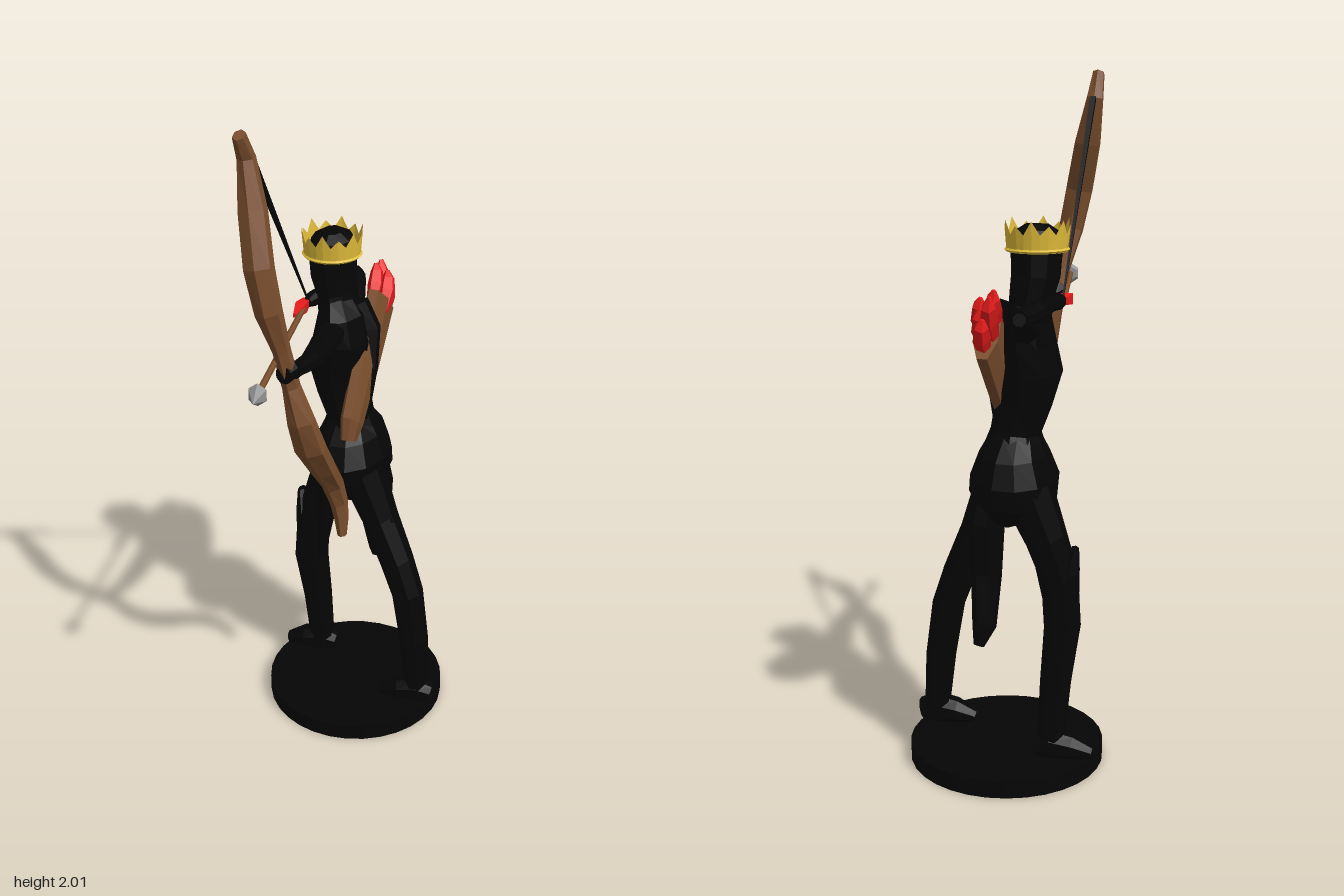
import * as THREE from 'three';

const flat = (color, extra = {}) => new THREE.MeshStandardMaterial({ color, flatShading: true, ...extra });

// Skin over elliptical rings. Each section is [x, y, z, a, b]:
// a = half-width towards ref, b = half-width across it.
function loft(sections, ref, sides = 8) {
  const pts = sections.map(s => new THREE.Vector3(s[0], s[1], s[2]));
  const pos = [], idx = [], n = sections.length;
  sections.forEach(([, , , a, b], i) => {
    const t = pts[Math.min(i + 1, n - 1)].clone().sub(pts[Math.max(i - 1, 0)]).normalize();
    const u = ref.clone().addScaledVector(t, -ref.dot(t)).normalize();
    const v = t.clone().cross(u);
    for (let j = 0; j < sides; j++) {
      const q = (j + 0.5) / sides * Math.PI * 2;
      const p = pts[i].clone().addScaledVector(u, a * Math.cos(q)).addScaledVector(v, b * Math.sin(q));
      pos.push(p.x, p.y, p.z);
    }
  });
  pos.push(...pts[0].toArray(), ...pts[n - 1].toArray());
  const c0 = n * sides, c1 = c0 + 1;
  for (let j = 0; j < sides; j++) {
    const k = (j + 1) % sides, e = (n - 1) * sides;
    for (let i = 0; i < n - 1; i++) {
      const r = i * sides, s = r + sides;
      idx.push(r + j, r + k, s + j, r + k, s + k, s + j);
    }
    idx.push(c0, k, j, c1, e + j, e + k);
  }
  const g = new THREE.BufferGeometry();
  g.setAttribute('position', new THREE.Float32BufferAttribute(pos, 3));
  g.setIndex(idx);
  g.computeVertexNormals();
  return g;
}

export function createModel() {
  const model = new THREE.Group();
  const black = flat(0x050505), brown = flat(0x7a4e2d), red = flat(0xfa1e1e);
  const steel = flat(0x929292), gold = flat(0xe0bc3a, { side: THREE.DoubleSide });
  Object.entries({ black, brown, red, steel, gold }).forEach(([k, m]) => { m.name = k; });
  const X = new THREE.Vector3(1, 0, 0), Y = new THREE.Vector3(0, 1, 0);
  const add = (name, geometry, material) => {
    const m = new THREE.Mesh(geometry, material);
    m.name = name;
    model.add(m);
    return m;
  };

  // Round base
  add('base', new THREE.CylinderGeometry(0.288, 0.288, 0.052, 32), black).position.set(0, 0.026, -0.168);

  // Body: chest faces -x, bow arm reaches to +z
  add('torso', loft([
    [-0.035, 0.92, -0.22, 0.11, 0.13],
    [-0.04, 1.02, -0.22, 0.072, 0.09],
    [-0.062, 1.1, -0.22, 0.08, 0.093],
    [-0.073, 1.19, -0.225, 0.1, 0.105],
    [-0.063, 1.27, -0.225, 0.09, 0.12],
    [-0.068, 1.34, -0.23, 0.074, 0.118],
    [-0.085, 1.39, -0.235, 0.052, 0.075],
  ], X, 10), black);
  add('backFold', loft([
    [0.01, 1.02, -0.19, 0.02, 0.02],
    [0.018, 1.18, -0.22, 0.03, 0.035],
    [0.015, 1.3, -0.24, 0.035, 0.03],
    [-0.02, 1.38, -0.24, 0.03, 0.03],
  ], X, 6), black);
  add('head', loft([
    [-0.08, 1.34, -0.235, 0.06, 0.08],
    [-0.088, 1.41, -0.24, 0.062, 0.074],
    [-0.098, 1.46, -0.238, 0.068, 0.076],
    [-0.1, 1.54, -0.236, 0.072, 0.078],
    [-0.1, 1.58, -0.232, 0.062, 0.068],
    [-0.1, 1.6, -0.23, 0.03, 0.035],
  ], X, 10), black);

  // Crown: open band with alternating points that lean outward
  const crown = new THREE.CylinderGeometry(0.088, 0.084, 0.05, 24, 1, true);
  const p = crown.attributes.position;
  for (let i = 0; i <= 24; i += 2) {
    const lift = i % 4 === 0 ? 0.038 : 0.024;
    p.setXYZ(i, p.getX(i) * 1.05, p.getY(i) + lift, p.getZ(i) * 1.05);
  }
  crown.computeVertexNormals();
  add('crown', crown, gold).position.set(-0.1, 1.55, -0.23);
  const rim = add('crownRim', new THREE.TorusGeometry(0.085, 0.005, 4, 24), gold);
  rim.rotation.x = Math.PI / 2;
  rim.position.set(-0.1, 1.531, -0.23);

  // Arms
  add('bowArm', loft([
    [-0.07, 1.31, -0.2, 0.045, 0.045],
    [-0.07, 1.32, -0.1, 0.042, 0.038],
    [-0.065, 1.32, 0.0, 0.036, 0.034],
    [-0.055, 1.335, 0.1, 0.03, 0.028],
    [-0.065, 1.345, 0.18, 0.025, 0.022],
    [-0.08, 1.35, 0.21, 0.032, 0.036],
    [-0.085, 1.35, 0.245, 0.024, 0.028],
  ], X), black);
  add('drawUpperArm', loft([
    [-0.075, 1.31, -0.27, 0.048, 0.05],
    [-0.083, 1.34, -0.37, 0.044, 0.04],
    [-0.095, 1.37, -0.45, 0.034, 0.034],
    [-0.1, 1.375, -0.485, 0.018, 0.018],
  ], X), black);
  add('drawForearm', loft([
    [-0.1, 1.375, -0.475, 0.022, 0.025],
    [-0.12, 1.38, -0.37, 0.034, 0.03],
    [-0.145, 1.385, -0.25, 0.022, 0.022],
    [-0.155, 1.385, -0.21, 0.024, 0.024],
    [-0.16, 1.385, -0.175, 0.014, 0.014],
  ], X), black);

  // Hips, gathered skirt and hanging cloth
  add('skirt', loft([
    [-0.04, 1.01, -0.22, 0.072, 0.09],
    [-0.035, 0.96, -0.22, 0.098, 0.15],
    [-0.035, 0.89, -0.215, 0.125, 0.178],
    [-0.03, 0.83, -0.215, 0.125, 0.168],
    [-0.02, 0.79, -0.21, 0.095, 0.13],
    [-0.02, 0.75, -0.21, 0.04, 0.08],
  ], X, 12), black);
  add('backCloth', loft([
    [0.015, 0.9, -0.22, 0.05, 0.11],
    [0.04, 0.75, -0.25, 0.048, 0.105],
    [0.035, 0.6, -0.28, 0.042, 0.075],
    [0.03, 0.47, -0.335, 0.034, 0.048],
    [0.04, 0.42, -0.365, 0.015, 0.02],
  ], X), black);
  add('frontCloth', loft([
    [-0.1, 0.84, -0.2, 0.04, 0.08],
    [-0.105, 0.68, -0.19, 0.03, 0.045],
    [-0.125, 0.49, -0.18, 0.012, 0.015],
  ], X, 6), black);

  // Legs and feet
  const legs = {
    right: [
      [-0.08, 0.86, -0.27, 0.075, 0.085], [-0.135, 0.72, -0.265, 0.06, 0.07],
      [-0.172, 0.6, -0.25, 0.054, 0.064], [-0.18, 0.45, -0.245, 0.054, 0.062],
      [-0.163, 0.28, -0.258, 0.046, 0.052], [-0.15, 0.07, -0.27, 0.04, 0.04],
    ],
    left: [
      [0.02, 0.86, -0.15, 0.07, 0.085], [0.085, 0.7, -0.145, 0.055, 0.072],
      [0.147, 0.56, -0.128, 0.052, 0.064], [0.187, 0.45, -0.12, 0.049, 0.06],
      [0.215, 0.28, -0.11, 0.046, 0.05], [0.235, 0.07, -0.095, 0.037, 0.042],
    ],
  };
  for (const [side, s] of Object.entries(legs)) {
    add(side + 'Leg', loft(s, X), black);
    const [x, , z] = s[5];
    add(side + 'Foot', loft([
      [x + 0.046, 0.085, z, 0.034, 0.03],
      [x, 0.095, z, 0.046, 0.042],
      [x - 0.06, 0.087, z + 0.003, 0.038, 0.042],
      [x - 0.12, 0.07, z + 0.006, 0.02, 0.025],
    ], Y), black);
  }
  // Pointed boot tops over the knees
  add('rightKneeGuard', loft([
    [-0.205, 0.48, -0.247, 0.022, 0.045], [-0.2, 0.62, -0.252, 0.03, 0.05], [-0.216, 0.69, -0.255, 0.012, 0.02],
  ], X, 6), black);
  add('leftKneeGuard', loft([
    [0.165, 0.46, -0.115, 0.025, 0.045], [0.127, 0.61, -0.125, 0.03, 0.05], [0.128, 0.72, -0.13, 0.01, 0.02],
  ], X, 6), black);

  // Recurved bow, tilted across the body
  add('bow', loft([
    [-0.2, 2.0, 0.222, 0.018, 0.022], [-0.195, 1.93, 0.188, 0.026, 0.026],
    [-0.17, 1.8, 0.218, 0.042, 0.034], [-0.14, 1.66, 0.263, 0.044, 0.036],
    [-0.115, 1.54, 0.266, 0.04, 0.034], [-0.092, 1.42, 0.236, 0.026, 0.026],
    [-0.075, 1.3, 0.21, 0.026, 0.028], [-0.045, 1.2, 0.218, 0.042, 0.034],
    [-0.03, 1.1, 0.186, 0.05, 0.035], [-0.018, 1.0, 0.115, 0.042, 0.034],
    [-0.012, 0.91, 0.042, 0.034, 0.034], [-0.002, 0.83, 0.01, 0.027, 0.032],
    [0.006, 0.77, 0.009, 0.022, 0.025], [0.01, 0.715, 0.015, 0.014, 0.018],
  ], X, 6), brown);
  add('bowString', loft([
    [-0.192, 1.93, 0.166, 0.012, 0.01], [-0.165, 1.39, -0.19, 0.003, 0.003],
  ], X, 4), black);

  // Nocked arrow
  add('arrowShaft', loft([[-0.165, 1.383, -0.18, 0.009, 0.009], [-0.088, 1.38, 0.43, 0.009, 0.009]], X, 6), brown);
  add('arrowHead', loft([
    [-0.09, 1.38, 0.422, 0.02, 0.022], [-0.088, 1.38, 0.432, 0.028, 0.033], [-0.08, 1.38, 0.487, 0.001, 0.001],
  ], X, 6), steel);
  add('arrowFletching', loft([
    [-0.168, 1.383, -0.19, 0.016, 0.014], [-0.168, 1.383, -0.14, 0.024, 0.022], [-0.164, 1.383, -0.075, 0.008, 0.008],
  ], X, 4), red);

  // Flattened quiver slung over the back
  add('quiver', loft([
    [-0.002, 0.99, -0.085, 0.022, 0.045], [0.0, 1.04, -0.11, 0.032, 0.07],
    [0.004, 1.18, -0.235, 0.036, 0.095], [0.008, 1.33, -0.375, 0.037, 0.108],
  ], X, 8), brown);

  // Spare arrow feathers fanning out of the quiver: [x, y, z, length]
  [[-0.008, 1.345, -0.35, 0.095], [0.028, 1.33, -0.355, 0.09], [0.02, 1.305, -0.385, 0.09],
    [-0.008, 1.315, -0.395, 0.115], [0.01, 1.285, -0.415, 0.085]].forEach(([x, y, z, l], i) => {
    add('spareFletching' + (i + 1), loft([
      [x, y - 0.03, z + 0.03, 0.014, 0.015],
      [x, y + l * 0.4, z - l * 0.3, 0.026, 0.032],
      [x - 0.005, y + l * 0.75, z - l * 0.58, 0.02, 0.024],
      [x - 0.01, y + l, z - l * 0.65, 0.006, 0.006],
    ], X, 5), red);
  });

  return model;
}
